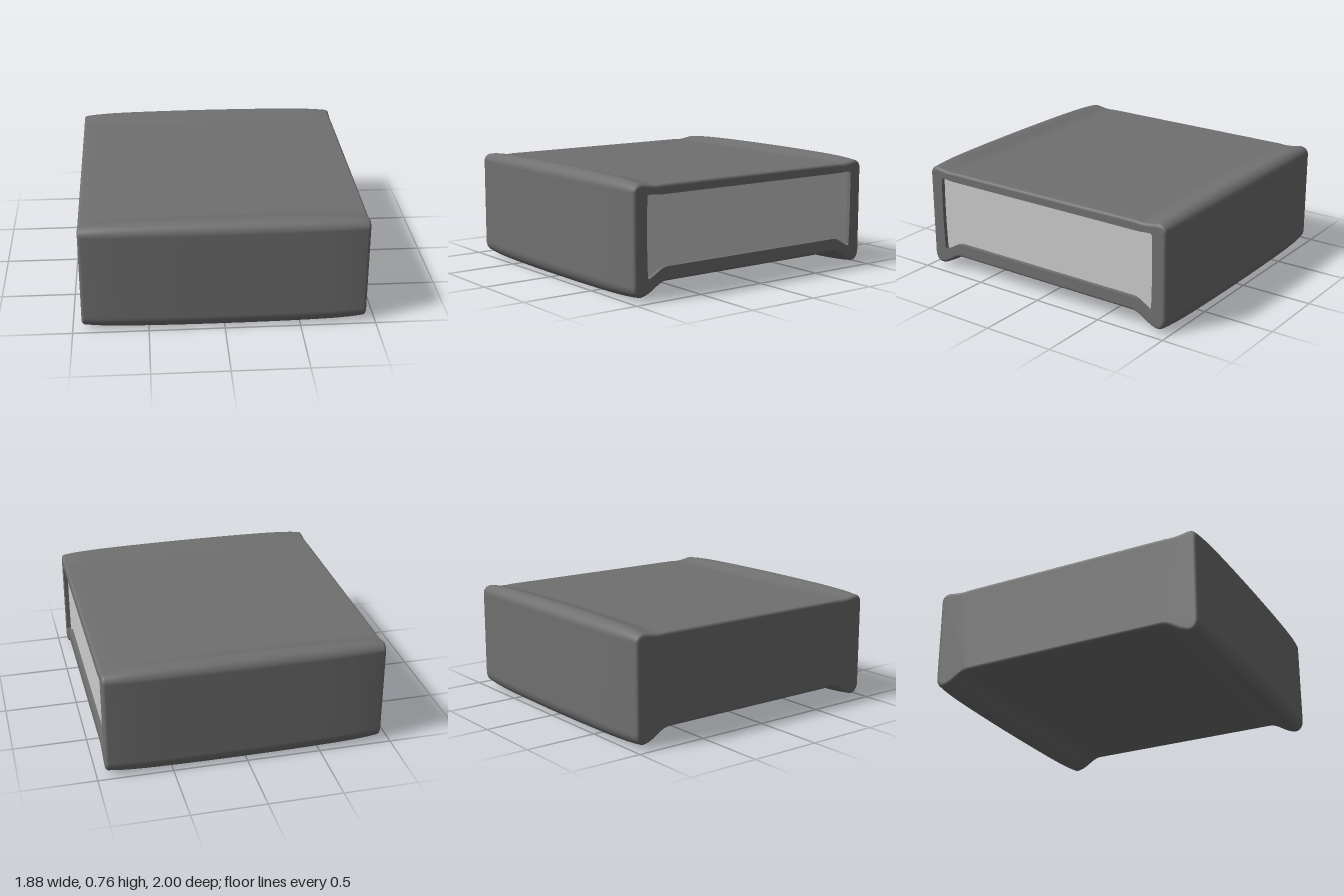
import * as THREE from 'three';

const HALF = 0.94;      // half width along x
const CORNER = 0.02;    // rounding of the end edges
const CROWN = 0.027;    // how far the front, back and ridges bulge mid-width

// Cross-section in (z, y): flared feet below, low ridges above
function outerProfile() {
  const s = new THREE.Path();
  s.moveTo(-0.72, 0.11);
  s.lineTo(0.72, 0.11);
  s.bezierCurveTo(0.79, 0.11, 0.83, 0.005, 0.92, 0.003);
  s.bezierCurveTo(0.965, 0.003, 1, 0.05, 1, 0.1);
  s.lineTo(1, 0.69);
  s.bezierCurveTo(1, 0.73, 0.965, 0.765, 0.92, 0.765);
  s.bezierCurveTo(0.87, 0.765, 0.82, 0.73, 0.75, 0.73);
  s.lineTo(-0.75, 0.73);
  s.bezierCurveTo(-0.82, 0.73, -0.87, 0.765, -0.92, 0.765);
  s.bezierCurveTo(-0.965, 0.765, -1, 0.73, -1, 0.69);
  s.lineTo(-1, 0.1);
  s.bezierCurveTo(-1, 0.05, -0.965, 0.003, -0.92, 0.003);
  s.bezierCurveTo(-0.83, 0.005, -0.79, 0.11, -0.72, 0.11);
  const pts = s.getPoints(14);
  pts.pop();
  return pts;
}

// Outline of the side opening
function openingPath(PathType) {
  const p = new PathType();
  p.moveTo(-0.72, 0.205);
  p.lineTo(0.72, 0.205);
  p.bezierCurveTo(0.78, 0.2, 0.8, 0.165, 0.86, 0.143);
  p.quadraticCurveTo(0.87, 0.14, 0.872, 0.16);
  p.quadraticCurveTo(0.882, 0.4, 0.874, 0.655);
  p.quadraticCurveTo(0.873, 0.67, 0.855, 0.67);
  p.lineTo(0.78, 0.663);
  p.lineTo(-0.78, 0.663);
  p.lineTo(-0.855, 0.67);
  p.quadraticCurveTo(-0.873, 0.67, -0.874, 0.655);
  p.quadraticCurveTo(-0.882, 0.4, -0.872, 0.16);
  p.quadraticCurveTo(-0.87, 0.14, -0.86, 0.143);
  p.bezierCurveTo(-0.8, 0.165, -0.78, 0.2, -0.72, 0.205);
  return p;
}

// Profile pulled inward: the crown acts near the front and back, the rounding everywhere
function insetProfile(pts, crown, rounding) {
  const n = pts.length;
  return pts.map((p, j) => {
    const a = p.clone().sub(pts[(j + n - 1) % n]).normalize();
    const b = pts[(j + 1) % n].clone().sub(p).normalize();
    const t = a.add(b).normalize();
    const d = crown * THREE.MathUtils.smoothstep(Math.abs(p.x), 0.72, 0.9) + rounding;
    return new THREE.Vector2(p.x - t.y * d, p.y + t.x * d);
  });
}

function loft(pts) {
  // Stations along x: rounded end, crowned middle, rounded end
  const stations = [];
  const arc = 6, mid = 28, inner = HALF - CORNER;
  for (let i = 0; i < arc; i++) {
    const a = (Math.PI / 2) * (1 - i / arc);
    stations.push([-inner - CORNER * Math.sin(a), CORNER * (1 - Math.cos(a))]);
  }
  for (let i = 0; i <= mid; i++) stations.push([inner * (2 * i / mid - 1), 0]);
  for (let i = 1; i <= arc; i++) {
    const a = (Math.PI / 2) * (i / arc);
    stations.push([inner + CORNER * Math.sin(a), CORNER * (1 - Math.cos(a))]);
  }
  const pos = [], idx = [], n = pts.length;
  stations.forEach(([x, r], i) => {
    const t = Math.abs(x) / HALF;
    const crown = CROWN * (0.45 * t ** 2 + 0.55 * t ** 8);
    for (const p of insetProfile(pts, crown, r)) pos.push(x, p.y, p.x);
    if (i === 0) return;
    for (let j = 0; j < n; j++) {
      const k = (j + 1) % n, a = (i - 1) * n, b = i * n;
      idx.push(a + j, b + j, a + k, b + j, b + k, a + k);
    }
  });
  const g = new THREE.BufferGeometry();
  g.setAttribute('position', new THREE.Float32BufferAttribute(pos, 3));
  g.setIndex(idx);
  g.computeVertexNormals();
  return g;
}

export function createModel() {
  const group = new THREE.Group();
  const dark = new THREE.MeshStandardMaterial({ color: 0x707070 });
  const light = new THREE.MeshStandardMaterial({ color: 0xcccccc });
  const add = (name, geometry, material, x = 0) => {
    const m = new THREE.Mesh(geometry, material);
    m.name = name;
    m.position.x = x;
    group.add(m);
  };

  const pts = outerProfile();
  const endPts = insetProfile(pts, CROWN, CORNER);

  // Wrapped outer shell
  add('shell', loft(pts), dark);

  // Closed end
  add('closedEnd', new THREE.ShapeGeometry(new THREE.Shape(endPts)).rotateY(-Math.PI / 2), dark, -HALF);

  // Frame around the opening on the other end
  const depth = 0.03;
  const frame = new THREE.Shape(endPts);
  frame.holes.push(openingPath(THREE.Path));
  add('openingFrame', new THREE.ExtrudeGeometry(frame, { depth, bevelEnabled: false, curveSegments: 10 })
    .rotateY(Math.PI / 2), dark, HALF - depth);

  // Recessed side panel
  add('sidePanel', new THREE.ShapeGeometry(openingPath(THREE.Shape), 10).rotateY(Math.PI / 2), light, HALF - depth + 0.002);

  return group;
}
